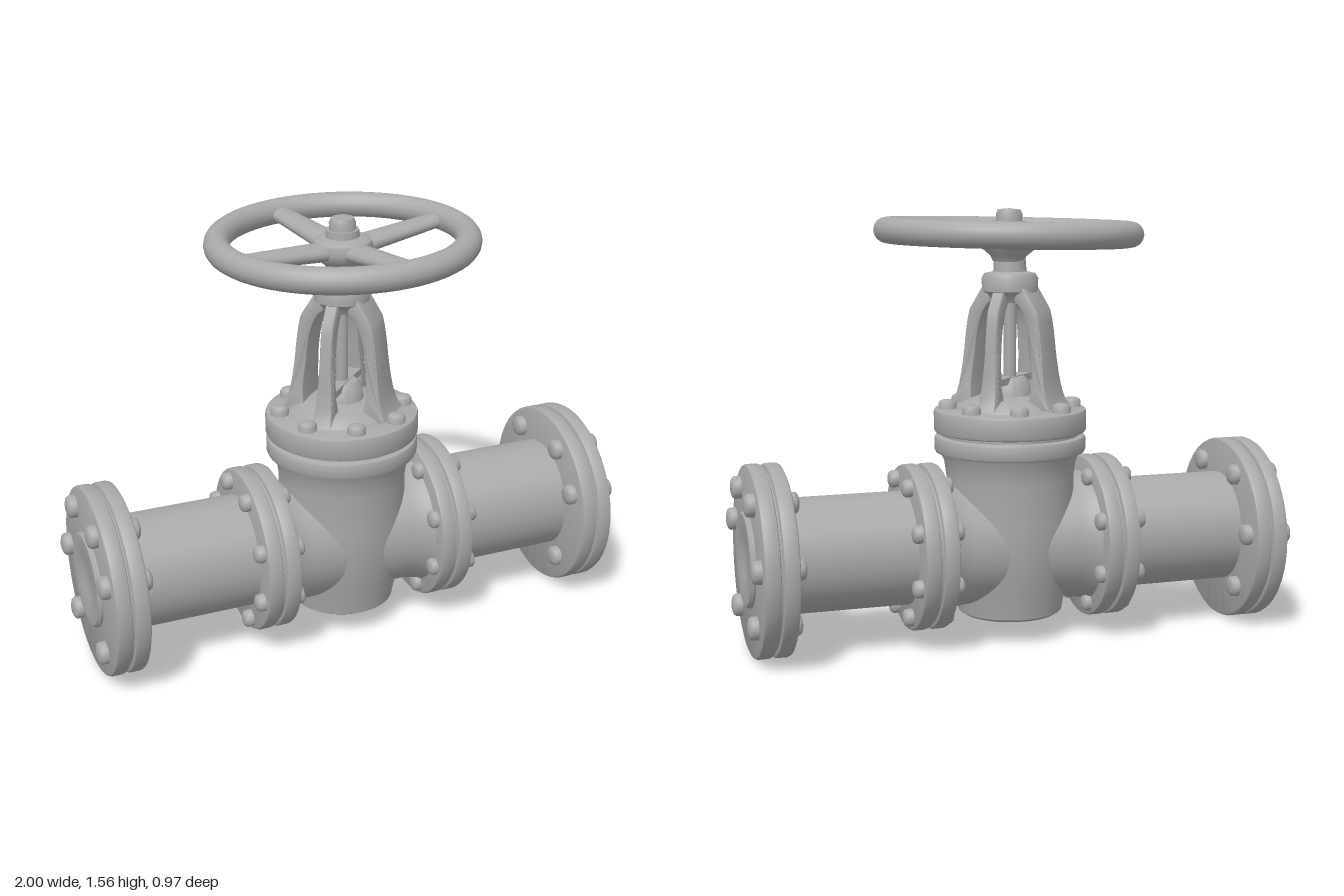
import * as THREE from 'three';
import { toCreasedNormals } from 'three/addons/utils/BufferGeometryUtils.js';

const metal = new THREE.MeshStandardMaterial({ color: 0xa9a9a9 });
metal.name = 'cast grey metal';

const AXIS_Y = 0.36; // height of the pipe run

function part(name, geometry, parent) {
  const mesh = new THREE.Mesh(geometry, metal);
  mesh.name = name;
  parent.add(mesh);
  return mesh;
}

// Turned part, profile as [radius, height] from bottom to top
function turned(profile, segments = 56) {
  const points = profile.map(([r, y]) => new THREE.Vector2(r, y));
  return toCreasedNormals(new THREE.LatheGeometry(points, segments), 0.7);
}

// Solid disc with softened rims
function disc(r, y0, y1, soft = 0.012) {
  return turned([[0, y0], [r - soft, y0], [r - soft * 0.3, y0 + soft * 0.3], [r, y0 + soft],
    [r, y1 - soft], [r - soft * 0.3, y1 - soft * 0.3], [r - soft, y1], [0, y1]]);
}

function boltGeometry(r, h) {
  return turned([[r, -0.01], [r, h * 0.6], [r * 0.85, h * 0.83], [r * 0.5, h * 0.97], [0, h]], 16);
}

// Bolts around the local y axis; angle 0 is +z, 90 is -x (up, once the axis points to +x)
function boltRing(parent, name, angles, radius, y, direction, r, h) {
  const geometry = boltGeometry(r, h);
  for (const degrees of angles) {
    const a = THREE.MathUtils.degToRad(degrees);
    const bolt = part(name, geometry, parent);
    bolt.position.set(-Math.sin(a) * radius, y, Math.cos(a) * radius);
    if (direction < 0) bolt.rotation.x = Math.PI;
  }
}

const evenAngles = (n, start) => Array.from({ length: n }, (_, i) => start + i * 360 / n);

// Yoke leg: side profile extruded, narrowing towards the top
function legGeometry(bottomWidth, topWidth) {
  const shape = new THREE.Shape();
  shape.moveTo(0.2, 0.86);
  shape.bezierCurveTo(0.155, 0.92, 0.165, 1.1, 0.135, 1.21);
  shape.lineTo(0.085, 1.29);
  shape.lineTo(0.04, 1.29);
  shape.lineTo(0.045, 1.24);
  shape.bezierCurveTo(0.11, 1.2, 0.11, 1.05, 0.12, 0.94);
  shape.lineTo(0.11, 0.86);
  const geometry = new THREE.ExtrudeGeometry(shape, {
    depth: 0.84, curveSegments: 10, bevelEnabled: true,
    bevelThickness: 0.08, bevelSize: 0.008, bevelOffset: -0.008, bevelSegments: 2,
  });
  geometry.translate(0, 0, -0.42);
  const p = geometry.attributes.position;
  for (let i = 0; i < p.count; i++) {
    const t = THREE.MathUtils.clamp((p.getY(i) - 0.86) / 0.2, 0, 1);
    p.setZ(i, p.getZ(i) * THREE.MathUtils.lerp(bottomWidth, topWidth, Math.sqrt(t)));
  }
  return toCreasedNormals(geometry, 0.7);
}

function addPipeRun(model) {
  const run = new THREE.Group();
  run.name = 'pipeRun';
  run.position.y = AXIS_Y;
  run.rotation.z = -Math.PI / 2;
  model.add(run);

  part('pipe', new THREE.CylinderGeometry(0.205, 0.205, 1.8, 56), run);
  // horizontal part of the body, flaring into its flanges
  part('bodyCrossTube', turned([[0.25, -0.29], [0.232, -0.26], [0.222, -0.2], [0.222, 0.2],
    [0.232, 0.26], [0.25, 0.29]]), run);

  for (const side of [-1, 1]) {
    const end = new THREE.Group();
    end.name = side > 0 ? 'leftFlanges' : 'rightFlanges';
    run.add(end);
    const slab = (name, r, a, b, soft) =>
      part(name, disc(r, Math.min(side * a, side * b), Math.max(side * a, side * b), soft), end);

    // end flange pair with gasket and bolts
    slab('endFlangeInner', 0.342, 0.842, 0.9).position.x = 0.01;
    slab('endGasket', 0.325, 0.89, 0.92).position.x = 0.01;
    slab('endFlangeOuter', 0.342, 0.907, 0.965).position.x = 0.01;
    const endAngles = [21, 61, 124, 177, 230, 309];
    boltRing(end, 'endBolt', endAngles, 0.265, side * 0.963, side, 0.041, 0.037);
    boltRing(end, 'endNut', endAngles, 0.265, side * 0.844, -side, 0.038, 0.034);

    // raised end cap with a shallow dish
    const cap = part('endCap', turned([[0.172, 0.955], [0.172, 0.972], [0.162, 0.982],
      [0.1, 0.982], [0.075, 0.973], [0, 0.968]]), end);
    if (side < 0) cap.rotation.x = Math.PI;

    // body flange pair
    slab('bodyFlangeInner', 0.3, 0.275, 0.333);
    slab('bodyGasket', 0.285, 0.32, 0.35);
    slab('bodyFlangeOuter', 0.3, 0.342, 0.4);
    const ring = evenAngles(8, 22.5);
    boltRing(end, 'bodyBolt', ring, 0.254, side * 0.398, side, 0.032, 0.036);
    boltRing(end, 'bodyNut', ring, 0.254, side * 0.277, -side, 0.032, 0.03);
  }
}

function addBodyAndBonnet(model) {
  part('body', turned([[0, 0.095], [0.175, 0.095], [0.19, 0.105], [0.196, 0.14], [0.212, 0.22],
    [0.232, 0.32], [0.236, 0.45], [0.232, 0.6], [0.24, 0.66], [0.258, 0.7]]), model);
  part('bonnetLowerFlange', disc(0.275, 0.692, 0.755), model);
  part('bonnetGasket', disc(0.25, 0.74, 0.78), model);
  part('bonnetUpperFlange', disc(0.277, 0.766, 0.852), model);
  boltRing(model, 'bonnetBolt', evenAngles(8, 10), 0.228, 0.85, 1, 0.033, 0.036);
  part('bonnetDome', turned([[0.205, 0.845], [0.19, 0.868], [0.15, 0.888], [0.08, 0.9],
    [0.07, 0.95], [0.055, 0.965], [0, 0.965]]), model);

  // gland bar held across the stem
  const gland = part('glandBar', new THREE.BoxGeometry(0.25, 0.025, 0.055), model);
  gland.position.y = 0.955;
  gland.rotation.y = Math.PI / 4;
}

function addYoke(model) {
  const wide = legGeometry(0.2, 0.125);
  const thin = legGeometry(0.08, 0.045);
  for (let i = 0; i < 4; i++) {
    const leg = part(i % 2 ? 'thinYokeLeg' : 'wideYokeLeg', i % 2 ? thin : wide, model);
    leg.rotation.y = -Math.PI / 4 + i * Math.PI / 2;
  }
  part('yokeCollar', turned([[0, 1.235], [0.07, 1.235], [0.085, 1.265], [0.1, 1.275], [0.102, 1.32],
    [0.092, 1.338], [0.06, 1.345], [0.055, 1.41], [0, 1.41]]), model);
  const stem = part('stem', new THREE.CylinderGeometry(0.023, 0.023, 0.4, 20), model);
  stem.position.y = 1.08;
}

function addHandwheel(model) {
  const wheel = new THREE.Group();
  wheel.name = 'handwheel';
  wheel.position.set(0.005, 1.485, -0.003);
  wheel.rotation.z = 0.02;
  model.add(wheel);

  const rim = part('wheelRim', new THREE.TorusGeometry(0.437, 0.046, 16, 72), wheel);
  rim.rotation.x = Math.PI / 2;

  part('wheelHub', turned([[0, -0.105], [0.055, -0.105], [0.065, -0.085], [0.095, -0.06], [0.108, -0.03],
    [0.1, 0.0], [0.08, 0.012], [0.06, 0.015], [0.058, 0.04], [0, 0.04]]), wheel);
  part('hubNut', turned([[0.047, 0.03], [0.047, 0.065], [0.04, 0.08], [0, 0.084]], 20), wheel);

  // four flattened spokes rising from hub to rim
  const spokeGeometry = new THREE.CylinderGeometry(0.042, 0.056, 0.38, 16);
  spokeGeometry.scale(0.6, 1, 1);
  spokeGeometry.rotateZ(-Math.PI / 2);
  spokeGeometry.translate(0.235, 0, 0);
  for (let i = 0; i < 4; i++) {
    const arm = new THREE.Group();
    arm.name = 'spokeArm';
    arm.rotation.y = 0.19 + i * Math.PI / 2;
    wheel.add(arm);
    const spoke = part('wheelSpoke', spokeGeometry, arm);
    spoke.position.y = -0.035;
    spoke.rotation.z = 0.08;
  }
}

export function createModel() {
  const model = new THREE.Group();
  model.name = 'gateValve';
  addPipeRun(model);
  addBodyAndBonnet(model);
  addYoke(model);
  addHandwheel(model);
  return model;
}
